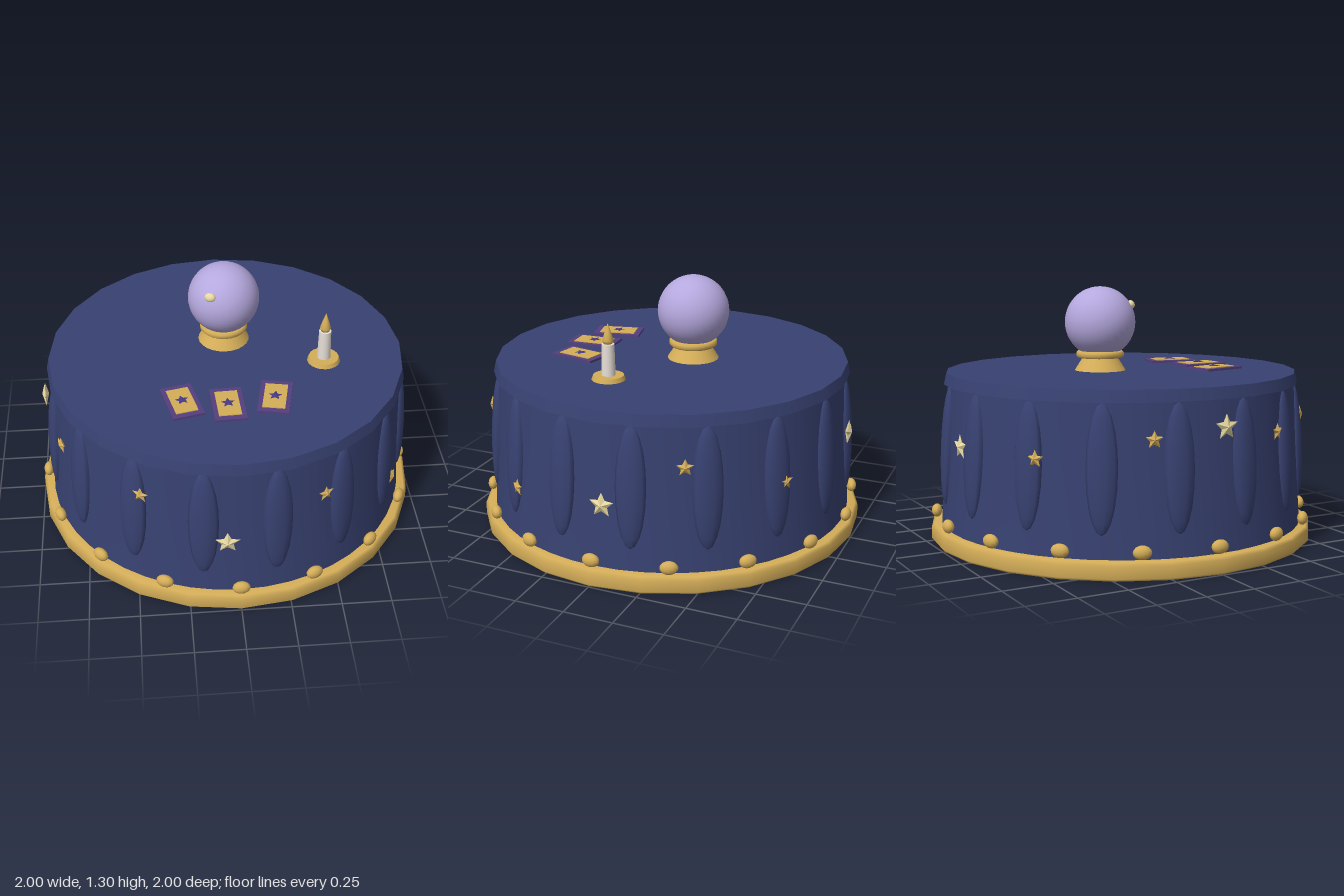
import * as THREE from 'three';

const mat = (name, color) => {
  const m = new THREE.MeshStandardMaterial({ color });
  m.name = name;
  return m;
};

// Lathe from [radius, height] pairs, given bottom to top
const lathe = (points, sides) =>
  new THREE.LatheGeometry(points.map(([r, y]) => new THREE.Vector2(r, y)), sides);

// Faceted five-pointed star with a raised centre on both faces, facing +z
function starGeometry(radius, thickness) {
  const pos = [];
  const rim = (i) => {
    const a = Math.PI / 2 + (i * Math.PI) / 5;
    const r = i % 2 ? radius * 0.48 : radius;
    return [Math.cos(a) * r, Math.sin(a) * r, 0];
  };
  for (let i = 0; i < 10; i++) {
    const a = rim(i), b = rim(i + 1);
    pos.push(...a, ...b, 0, 0, thickness / 2);
    pos.push(...b, ...a, 0, 0, -thickness / 2);
  }
  const g = new THREE.BufferGeometry();
  g.setAttribute('position', new THREE.Float32BufferAttribute(pos, 3));
  g.computeVertexNormals();
  return g;
}

export function createModel() {
  const model = new THREE.Group();
  model.name = 'fortuneTable';
  const blue = mat('midnight cloth', 0x384272);
  const gold = mat('gold', 0xd4ad58);
  const cream = mat('pale gold', 0xe8d9a0);
  const wax = mat('candle wax', 0xeae2da);
  const lavender = mat('crystal lavender', 0xb5a8de);
  const purple = mat('card purple', 0x54407f);
  const ink = mat('card star violet', 0x473a86);

  const add = (name, geometry, material, parent = model, x = 0, y = 0, z = 0) => {
    const m = new THREE.Mesh(geometry, material);
    m.name = name;
    m.position.set(x, y, z);
    parent.add(m);
    return m;
  };

  // Place a part around the skirt, its local +z facing outward
  const around = (mesh, angle, radius, y) => {
    mesh.position.set(Math.sin(angle) * radius, y, Math.cos(angle) * radius);
    mesh.rotation.set(0, angle, 0);
    return mesh;
  };

  // Cloth skirt, closed underneath
  add('skirt', lathe([[0.95, 0.003], [0.943, 0.1], [0.928, 0.3], [0.914, 0.55], [0.9, 0.83]], 48), blue);
  const floor = add('skirtBottom', new THREE.CircleGeometry(0.955, 24), blue, model, 0, 0.002, 0);
  floor.rotation.x = Math.PI / 2;

  // Table top
  add('tableTop', new THREE.CylinderGeometry(0.91, 0.923, 0.058, 24), blue, model, 0, 0.836, 0);

  // Gold hem
  add('hemRing', lathe([[0.93, 0.004], [0.96, 0], [0.99, 0], [1, 0.012], [1, 0.07], [0.985, 0.085], [0.93, 0.088]], 24), gold);

  // Folds and beads repeat sixteen times
  const fold = new THREE.SphereGeometry(1, 10, 10);
  fold.scale(0.075, 0.305, 0.035);
  const bead = new THREE.SphereGeometry(1, 12, 8);
  bead.scale(0.045, 0.034, 0.027);
  for (let i = 0; i < 16; i++) {
    const a = (i * Math.PI) / 8;
    const f = around(add('fold', fold, blue), a + Math.PI / 16, 0.915, 0.5);
    f.rotation.order = 'YXZ';
    f.rotation.x = -0.055;
    around(add('hemBead', bead, gold), a, 0.97, 0.128);
  }

  // Stars on the skirt: angle in degrees, height, large or small
  const bigStar = starGeometry(0.064, 0.036);
  const smallStar = starGeometry(0.044, 0.03);
  [
    [-4, 0.41, true], [26, 0.605, false], [60, 0.36, false], [93, 0.41, true],
    [117, 0.62, false], [148, 0.48, false], [186, 0.54, true], [217, 0.54, false],
    [251, 0.64, false], [273, 0.68, true], [295, 0.62, false], [330, 0.63, false],
  ].forEach(([deg, y, big]) => {
    const r = 0.951 - (y - 0.1) * 0.02;
    around(add('skirtStar', big ? bigStar : smallStar, big ? cream : gold), (deg * Math.PI) / 180, r, y);
  });

  // Crystal ball on its stand
  const ball = new THREE.Group();
  ball.name = 'crystalBall';
  ball.position.set(0, 0.865, -0.12);
  model.add(ball);
  add('standFoot', new THREE.CylinderGeometry(0.085, 0.132, 0.075, 24), gold, ball, 0, 0.0375, 0);
  add('standCollar', lathe([[0.08, 0.064], [0.115, 0.066], [0.124, 0.075], [0.124, 0.092], [0.115, 0.101], [0.08, 0.102]], 24), gold, ball);
  add('crystal', new THREE.SphereGeometry(0.183, 32, 24), lavender, ball, 0, 0.25, 0);
  const glint = add('glint', new THREE.SphereGeometry(1, 12, 8), cream, ball, -0.079, 0.34, 0.14);
  glint.scale.set(0.03, 0.023, 0.018);
  glint.rotation.set(-0.5, -0.45, -0.2);

  // Candle
  const candle = new THREE.Group();
  candle.name = 'candle';
  candle.position.set(0.493, 0.865, 0.125);
  model.add(candle);
  add('candlePlate', new THREE.CylinderGeometry(0.076, 0.084, 0.022, 20), gold, candle, 0, 0.011, 0);
  add('candleStick', new THREE.CylinderGeometry(0.031, 0.035, 0.16, 16), wax, candle, 0, 0.1, 0);
  add('flame', lathe([[0, 0.172], [0.022, 0.182], [0.028, 0.198], [0.018, 0.232], [0, 0.285]], 12), gold, candle);

  // Three cards with an inlaid panel and star
  const cardStar = starGeometry(0.036, 0.009);
  cardStar.rotateX(-Math.PI / 2);
  [[-0.247, 0.425, 0.23], [-0.025, 0.464, 0.05], [0.21, 0.425, -0.2]].forEach(([x, z, turn]) => {
    const card = new THREE.Group();
    card.name = 'card';
    card.position.set(x, 0.865, z);
    card.rotation.y = turn;
    model.add(card);
    add('cardBack', new THREE.BoxGeometry(0.158, 0.012, 0.25), purple, card, 0, 0.006, 0);
    add('cardPanel', new THREE.BoxGeometry(0.112, 0.006, 0.19), gold, card, 0, 0.013, 0);
    add('cardStar', cardStar, ink, card, 0, 0.018, 0);
  });

  return model;
}
